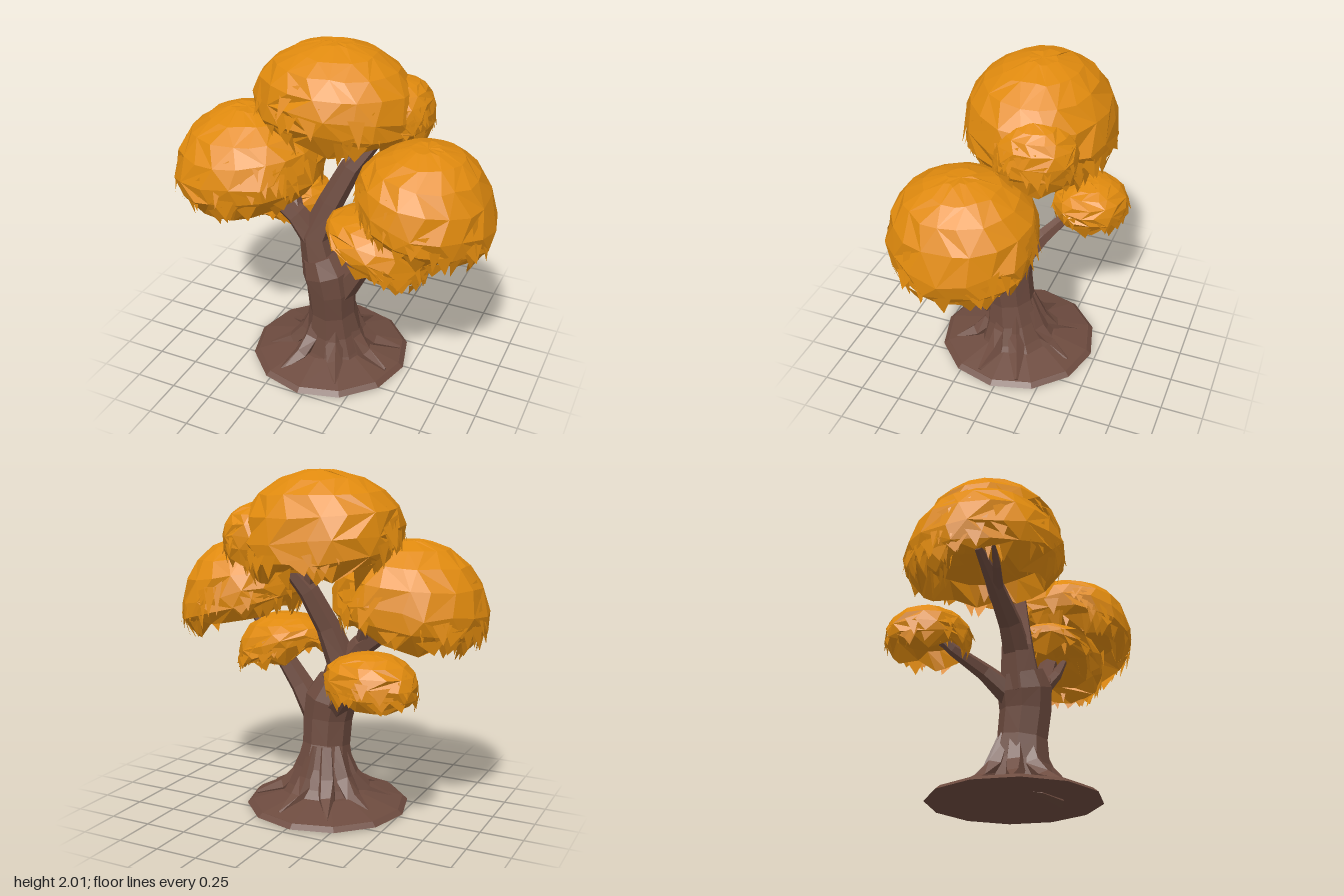
import * as THREE from 'three';

// Seeded random numbers
function makeRandom(seed) {
  let s = seed;
  return () => {
    s = (s * 16807) % 2147483647;
    return s / 2147483647;
  };
}

// Skin a list of equal-length rings into a closed, faceted surface
function loft(rings) {
  const n = rings[0].length, pos = [];
  const tri = (a, b, c) => { for (const p of [a, b, c]) pos.push(p.x, p.y, p.z); };
  const middle = (ring) => ring.reduce((m, p) => m.add(p), new THREE.Vector3()).divideScalar(n);
  const first = rings[0], last = rings[rings.length - 1];
  const start = middle(first), end = middle(last);
  for (let j = 0; j < n; j++) {
    const k = (j + 1) % n;
    tri(start, first[k], first[j]);
    for (let i = 0; i < rings.length - 1; i++) {
      const a = rings[i][j], b = rings[i][k], c = rings[i + 1][j], d = rings[i + 1][k];
      if ((i + j) % 2) { tri(a, b, c); tri(b, d, c); } else { tri(a, b, d); tri(a, d, c); }
    }
    tri(end, last[j], last[k]);
  }
  return toGeometry(pos);
}

function toGeometry(pos) {
  const g = new THREE.BufferGeometry();
  g.setAttribute('position', new THREE.Float32BufferAttribute(pos, 3));
  g.computeVertexNormals();
  return g;
}

// Tapered limb through points [x, y, z, radius]
function limb(points, sides = 6) {
  const v = points.map((p) => new THREE.Vector3(p[0], p[1], p[2]));
  const ref = new THREE.Vector3(0.3, 0.1, 1);
  return loft(points.map((p, i) => {
    const t = v[Math.min(i + 1, v.length - 1)].clone().sub(v[Math.max(i - 1, 0)]).normalize();
    const u = ref.clone().cross(t).normalize(), w = t.clone().cross(u);
    return Array.from({ length: sides }, (_, j) => {
      const a = (j / sides) * Math.PI * 2;
      return v[i].clone().addScaledVector(u, p[3] * Math.cos(a)).addScaledVector(w, p[3] * Math.sin(a));
    });
  }));
}

// Point on a foliage dome: angle a, height h from -1 (rim) to 1 (crown)
function domePoint(d, a, h, grow = 1) {
  const r = (h > 0 ? Math.pow(1 - h * h, 0.5) : 1 - 0.12 * h * h) * grow;
  const x = Math.cos(a) * r * d.rx, z = -Math.sin(a) * r * d.rz;
  const lean = (x * (d.sx || 0) + z * (d.sz || 0)) * (1 - Math.max(h, 0));
  return new THREE.Vector3(d.c[0] + x, d.c[1] + h * (h > 0 ? d.up : d.down) + lean, d.c[2] + z);
}

// Faceted dome with a ragged rim and a hollow underside
function domeGeometry(d, rand) {
  const n = d.rx > 0.35 ? 18 : 13;
  const levels = [
    [0.1, 0.3], [-0.1, 0.7], [-0.85, 0.93], [-0.35, 0.99], [0.1, 0.99], [0.42, 1], [0.68, 1], [0.87, 1], [0.98, 1],
  ];
  return loft(levels.map(([h, grow], i) => Array.from({ length: n }, (_, j) => {
    const a = ((j + (i % 2) * 0.5 + (rand() - 0.5) * 0.5) / n) * Math.PI * 2;
    const rough = i < 5 ? 1 : 0.3;
    const drop = i === 2 ? (rand() - 0.5) * 0.9 : (rand() - 0.5) * 0.1 * rough;
    return domePoint(d, a, Math.min(h + drop, 0.99), grow + (rand() - 0.5) * 0.07 * rough);
  })));
}

// Pointed leaf flakes hanging around the sides, rim and underside
function flakeGeometry(d, rand) {
  const pos = [], count = d.rx > 0.35 ? 80 : 40;
  for (let i = 0; i < count; i++) {
    const a = rand() * Math.PI * 2, w = (0.07 + rand() * 0.12) * (d.rx > 0.35 ? 1 : 1.5);
    const under = i % 4 === 0;
    const h = under ? -0.1 : -0.75 + rand() * 1.1;
    const g = under ? 0.45 + rand() * 0.4 : 0.98;
    const corners = [
      domePoint(d, a - w, h + rand() * 0.2, g),
      domePoint(d, a + (rand() - 0.5) * w, h - 0.35 - rand() * 0.45, g + 0.03 + rand() * 0.06),
      domePoint(d, a + w, h + 0.1 + rand() * 0.2, g),
    ];
    for (const p of corners) pos.push(p.x, p.y, p.z);
  }
  return toGeometry(pos);
}

export function createModel() {
  const bark = new THREE.MeshStandardMaterial({ color: 0x6d4b3f, flatShading: true });
  bark.name = 'barkBrown';
  const leaf = new THREE.MeshStandardMaterial({ color: 0xe08a0e, flatShading: true, side: THREE.DoubleSide });
  leaf.name = 'autumnOrange';

  const tree = new THREE.Group();
  tree.name = 'tree';
  const add = (parent, name, geometry, material) => {
    const m = new THREE.Mesh(geometry, material);
    m.name = name;
    parent.add(m);
    return m;
  };

  // Ground base: shallow twelve-sided mound
  const base = add(tree, 'base', new THREE.CylinderGeometry(0.46, 0.49, 0.025, 12), bark);
  base.position.set(-0.03, 0.0125, 0.02);
  const mound = add(tree, 'mound', new THREE.CylinderGeometry(0.24, 0.46, 0.06, 12), bark);
  mound.position.set(-0.03, 0.054, 0.02);

  // Trunk
  add(tree, 'trunk', limb([
    [0, 0.02, 0.02, 0.27], [0, 0.11, 0.03, 0.22], [0, 0.22, 0.04, 0.175], [0, 0.36, 0.06, 0.145],
    [0, 0.52, 0.08, 0.15], [-0.02, 0.64, 0.085, 0.158], [-0.06, 0.74, 0.085, 0.125],
  ], 9), bark);

  // Roots fanning out around the foot
  const roots = new THREE.Group();
  roots.name = 'roots';
  tree.add(roots);
  const rootRand = makeRandom(11);
  for (let i = 0; i < 8; i++) {
    const a = ((i + 0.3 + rootRand() * 0.4) / 8) * Math.PI * 2;
    const reach = 0.38 + rootRand() * 0.05;
    const at = (r, y, w) => [Math.cos(a) * r - 0.01, y, Math.sin(a) * r + 0.03, w];
    add(roots, 'root', limb([at(0.08, 0.36, 0.045), at(0.15, 0.17, 0.06), at(0.25, 0.075, 0.05), at(reach, 0.03, 0.012)], 5), bark);
  }

  // Branches and twigs
  const branches = {
    centralBranch: [[-0.05, 0.62, 0.08, 0.13], [-0.1, 0.86, 0.08, 0.1], [-0.02, 1.08, 0.04, 0.075], [0.08, 1.3, -0.02, 0.065], [0.2, 1.46, -0.08, 0.04], [0.3, 1.62, -0.13, 0.02]],
    crownTwig: [[0.09, 1.3, -0.02, 0.045], [0.04, 1.52, -0.06, 0.02], [0.0, 1.66, -0.1, 0.01]],
    upperLeftBranch: [[-0.08, 0.8, 0.08, 0.09], [-0.22, 0.98, 0.09, 0.07], [-0.42, 1.12, 0.1, 0.05], [-0.62, 1.26, 0.1, 0.025]],
    leftTwig: [[-0.22, 0.98, 0.09, 0.05], [-0.28, 1.14, 0.02, 0.035], [-0.32, 1.32, -0.03, 0.015]],
    outerLeftTwig: [[-0.38, 1.1, 0.1, 0.035], [-0.56, 1.16, 0.18, 0.025], [-0.68, 1.24, 0.22, 0.01]],
    rightBranch: [[0.05, 0.5, 0.08, 0.1], [0.18, 0.7, 0.08, 0.072], [0.34, 0.93, 0.07, 0.055], [0.48, 1.12, 0.08, 0.048], [0.6, 1.32, 0.1, 0.02]],
    rightTwig: [[0.44, 1.07, 0.08, 0.035], [0.6, 1.14, 0.14, 0.022], [0.72, 1.22, 0.16, 0.01]],
    lowRightBranch: [[0.18, 0.7, 0.08, 0.05], [0.29, 0.84, 0.14, 0.035], [0.38, 0.98, 0.17, 0.015]],
    lowLeftBranch: [[-0.05, 0.58, 0.05, 0.085], [-0.2, 0.72, -0.08, 0.05], [-0.36, 0.82, -0.2, 0.035], [-0.48, 0.93, -0.3, 0.015]],
    lowLeftTwig: [[-0.3, 0.78, -0.15, 0.03], [-0.35, 0.88, -0.28, 0.02], [-0.36, 0.96, -0.35, 0.01]],
  };
  for (const [name, points] of Object.entries(branches)) add(tree, name, limb(points, 6), bark);

  // Foliage: c centre, rx/rz radii, up/down heights, sx/sz lean of the rim
  const clumps = {
    crownFoliage: { c: [-0.05, 1.62, -0.11], rx: 0.49, rz: 0.42, up: 0.385, down: 0.17, sz: 0.12, sx: -0.06 },
    crownSideFoliage: { c: [0.3, 1.62, -0.2], rx: 0.2, rz: 0.24, up: 0.2, down: 0.15 },
    upperLeftFoliage: { c: [-0.52, 1.23, 0.085], rx: 0.45, rz: 0.44, up: 0.39, down: 0.15, sx: 0.13 },
    upperRightFoliage: { c: [0.58, 1.22, 0.1], rx: 0.39, rz: 0.42, up: 0.36, down: 0.15, sx: -0.26 },
    lowRightFoliage: { c: [0.32, 0.94, 0.13], rx: 0.31, rz: 0.28, up: 0.19, down: 0.11, sx: -0.36 },
    lowLeftFoliage: { c: [-0.45, 0.87, -0.3], rx: 0.27, rz: 0.24, up: 0.17, down: 0.11, sx: 0.1 },
  };
  Object.entries(clumps).forEach(([name, d], i) => {
    const g = new THREE.Group();
    g.name = name;
    const rand = makeRandom(101 + i * 977);
    add(g, 'leafDome', domeGeometry(d, rand), leaf);
    add(g, 'leafFlakes', flakeGeometry(d, rand), leaf);
    tree.add(g);
  });

  return tree;
}
